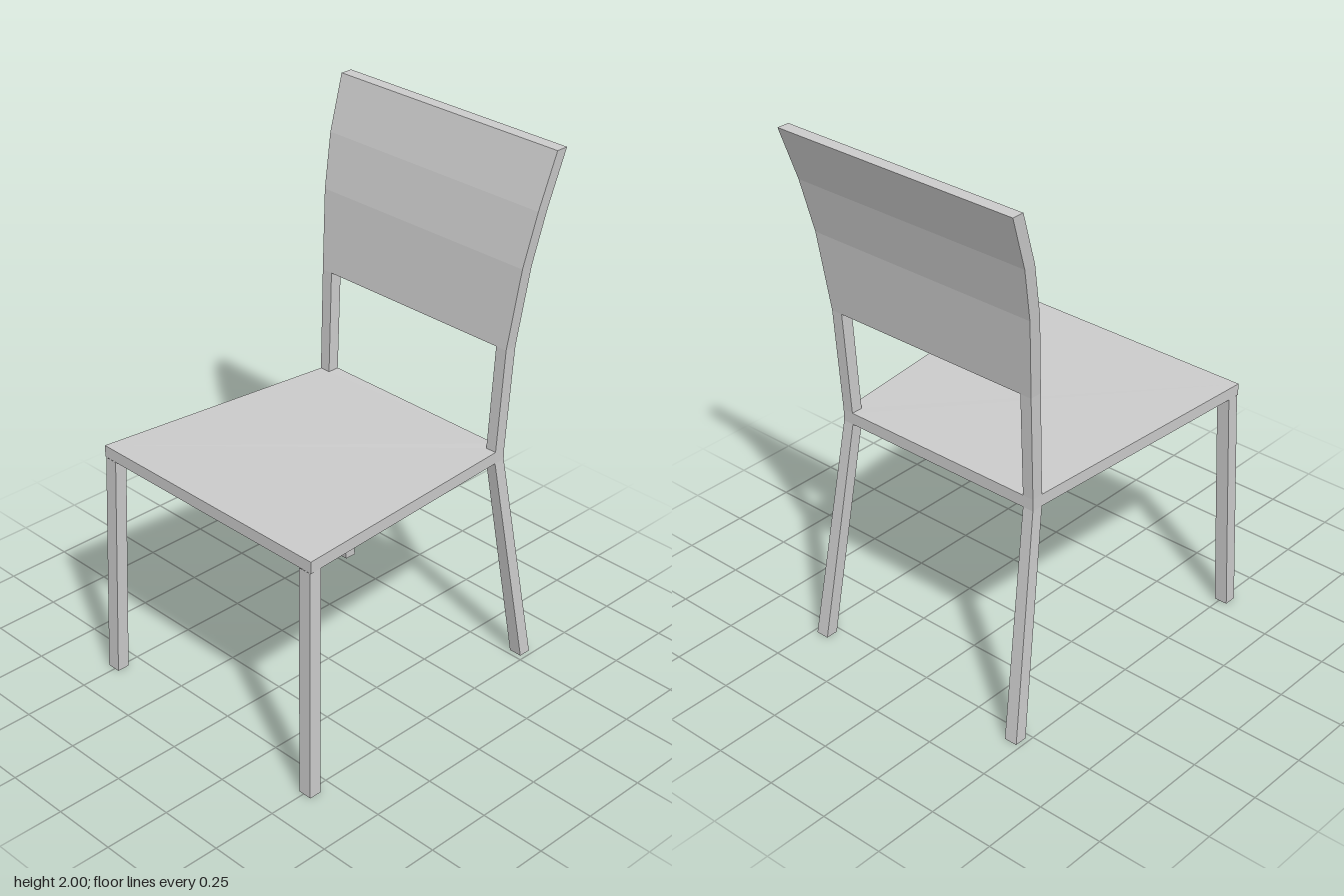
import * as THREE from 'three';

const material = new THREE.MeshStandardMaterial({ color: 0xcccccc, flatShading: true, side: THREE.DoubleSide });

// Skins rectangular sections [y, x0, x1, z0, z1], listed from bottom to top.
function loft(sections, capBottom, capTop) {
  const positions = [], index = [];
  for (const [y, x0, x1, z0, z1] of sections) {
    positions.push(x0, y, z0, x0, y, z1, x1, y, z1, x1, y, z0);
  }
  const last = (sections.length - 1) * 4;
  for (let r = 0; r < last; r += 4) {
    for (let i = 0; i < 4; i++) {
      const a = r + i, b = r + (i + 1) % 4;
      index.push(a, b, b + 4, a, b + 4, a + 4);
    }
  }
  if (capBottom) index.push(0, 2, 1, 0, 3, 2);
  if (capTop) index.push(last, last + 1, last + 2, last, last + 2, last + 3);
  const indexed = new THREE.BufferGeometry();
  indexed.setAttribute('position', new THREE.Float32BufferAttribute(positions, 3));
  indexed.setIndex(index);
  const geometry = indexed.toNonIndexed();
  geometry.computeVertexNormals();
  return geometry;
}

// Places a section's z range on one side of the chair.
const onSide = (sections, side) => sections.map(([y, x0, x1, z0, z1]) =>
  side > 0 ? [y, x0, x1, z0, z1] : [y, x0, x1, -z1, -z0]);

function addPart(group, name, geometry) {
  const mesh = new THREE.Mesh(geometry, material);
  mesh.name = name;
  group.add(mesh);
}

// Tapered plate, notched around the rear posts and rising gently to the front edge.
function seatGeometry() {
  const half = [[-0.58, 0.515], [0.385, 0.435], [0.385, 0.392], [0.43, 0.392]];
  const outline = [...half, ...half.map(([x, z]) => [x, -z]).reverse()];
  const shape = new THREE.Shape(outline.map(([x, z]) => new THREE.Vector2(x, z)));
  const geometry = new THREE.ExtrudeGeometry(shape, { depth: 0.045, bevelEnabled: false });
  geometry.rotateX(Math.PI / 2);
  const p = geometry.attributes.position;
  for (let i = 0; i < p.count; i++) {
    p.setY(i, p.getY(i) + 0.905 + Math.max(0, 0.385 - p.getX(i)) * 0.0255);
  }
  geometry.computeVertexNormals();
  return geometry;
}

export function createModel() {
  const chair = new THREE.Group();
  chair.name = 'chair';

  addPart(chair, 'seat', seatGeometry());

  // Curved backrest, flaring toward the top
  const backrest = [
    [1.3, 0.405, 0.445], [1.6, 0.44, 0.47], [1.8, 0.485, 0.488], [2, 0.552, 0.5],
  ].map(([y, x, w]) => [y, x, x + 0.047, -w, w]);
  addPart(chair, 'backrest', loft(backrest, true, true));

  // Splayed legs with open feet; each rear leg continues up to the backrest
  const frontLeg = [
    [0, -0.605, -0.557, 0.48, 0.533], [0.884, -0.58, -0.532, 0.46, 0.511],
  ];
  const rearLeg = [
    [0, 0.52, 0.568, 0.432, 0.483], [0.86, 0.385, 0.43, 0.392, 0.435],
    [0.905, 0.385, 0.43, 0.392, 0.435], [1.3, 0.405, 0.452, 0.4, 0.445],
  ];
  for (const [side, label] of [[1, 'A'], [-1, 'B']]) {
    addPart(chair, 'frontLeg' + label, loft(onSide(frontLeg, side), false, false));
    addPart(chair, 'rearLeg' + label, loft(onSide(rearLeg, side), false, false));
  }
  return chair;
}
